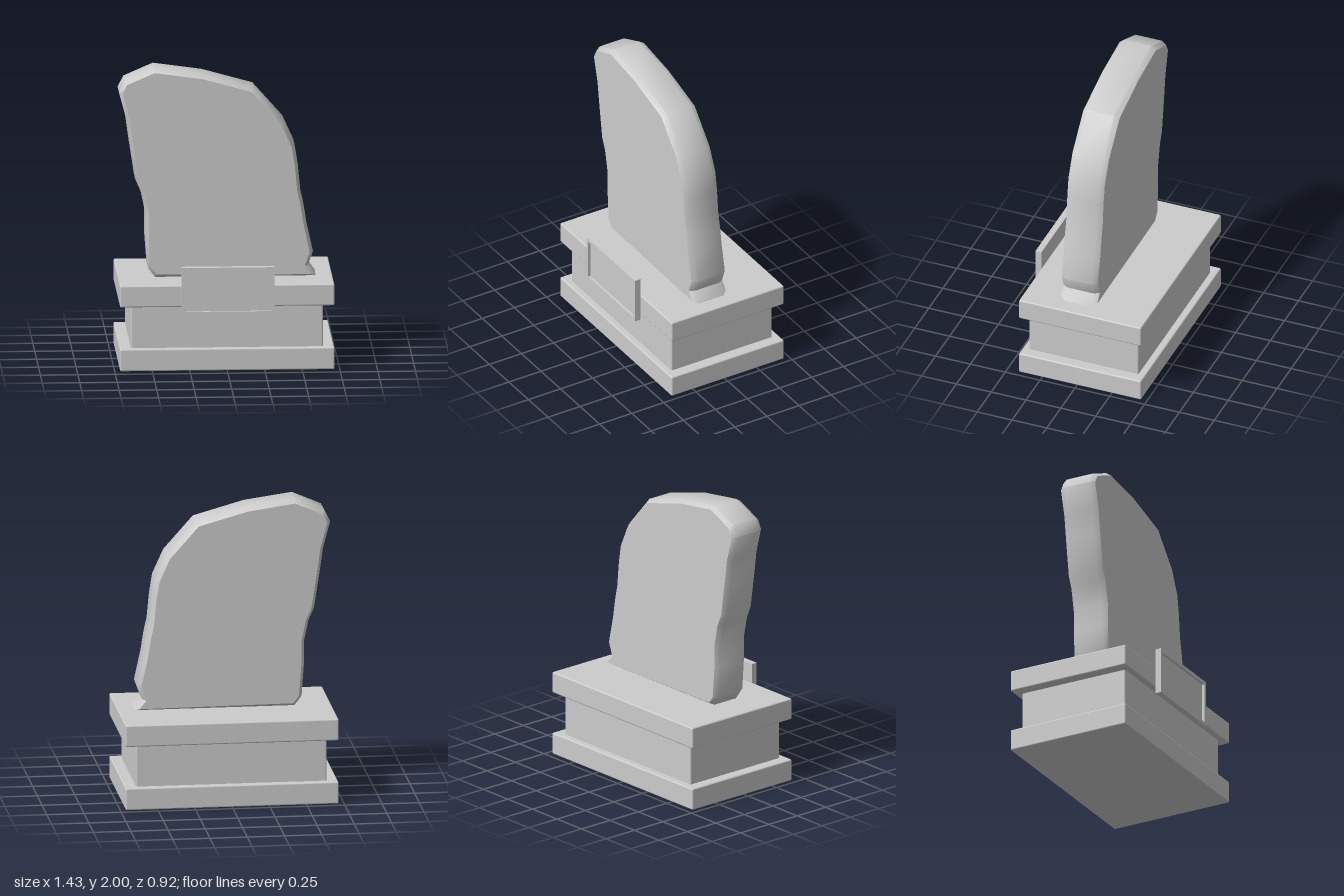
import * as THREE from 'three';
import { toCreasedNormals } from 'three/addons/utils/BufferGeometryUtils.js';
import { RoundedBoxGeometry } from 'three/addons/geometries/RoundedBoxGeometry.js';

const material = new THREE.MeshStandardMaterial({ color: 0xcccccc });

function addMesh(parent, name, geometry, x = 0, y = 0, z = 0) {
  const mesh = new THREE.Mesh(geometry, material);
  mesh.name = name;
  mesh.position.set(x, y, z);
  parent.add(mesh);
  return mesh;
}

// Rectangle path from its edges
function rectangle(Type, x0, x1, y0, y1) {
  return new Type([[x0, y0], [x1, y0], [x1, y1], [x0, y1]].map(([x, y]) => new THREE.Vector2(x, y)));
}

export function createModel() {
  const model = new THREE.Group();
  model.name = 'memorialStone';

  // Stepped pedestal: name, half width, bottom, top, back, front
  const pedestal = new THREE.Group();
  pedestal.name = 'pedestal';
  model.add(pedestal);
  const tiers = [
    ['baseSlab', 0.715, 0, 0.15, -0.46, 0.417],
    ['pedestalBody', 0.64, 0.14, 0.445, -0.412, 0.373],
    ['topSlab', 0.715, 0.435, 0.582, -0.46, 0.417],
  ];
  for (const [name, half, y0, y1, z0, z1] of tiers) {
    const box = new RoundedBoxGeometry(half * 2, y1 - y0, z1 - z0, 2, 0.01);
    addMesh(pedestal, name, box, 0, (y0 + y1) / 2, (z0 + z1) / 2);
  }

  // Leaning rough slab with a chamfered rim
  const outline = [
    [-0.468, 0.582], [-0.516, 0.645], [-0.532, 0.86], [-0.532, 1.02], [-0.563, 1.165],
    [-0.6, 1.25], [-0.638, 1.5], [-0.66, 1.66], [-0.708, 1.84], [-0.67, 1.915],
    [-0.474, 2.0], [-0.15, 1.955], [0.19, 1.86], [0.389, 1.635], [0.463, 1.471],
    [0.484, 1.34], [0.5, 1.17], [0.521, 1.075], [0.542, 0.942], [0.585, 0.746],
    [0.553, 0.656], [0.604, 0.582],
  ].map(([x, y]) => new THREE.Vector2(x, y));
  const chamfer = 0.035;
  const stone = new THREE.ExtrudeGeometry(new THREE.Shape(outline), {
    depth: 0.26 - 2 * chamfer,
    bevelThickness: chamfer,
    bevelSize: 0.022,
    bevelOffset: -0.022,
    bevelSegments: 1,
  });
  addMesh(model, 'stoneSlab', toCreasedNormals(stone, 0.75), 0, 0, -0.09 + chamfer);

  // Framed plaque on the front of the pedestal
  const plaque = new THREE.Group();
  plaque.name = 'plaque';
  model.add(plaque);
  const frame = rectangle(THREE.Shape, -0.305, 0.314, 0.388, 0.71);
  frame.holes.push(rectangle(THREE.Path, -0.282, 0.292, 0.411, 0.687));
  addMesh(plaque, 'plaqueFrame',
    new THREE.ExtrudeGeometry(frame, { depth: 0.043, bevelEnabled: false }), 0, 0, 0.417);
  addMesh(plaque, 'plaquePanel', new THREE.BoxGeometry(0.574, 0.276, 0.025), 0.005, 0.549, 0.4295);

  return model;
}
